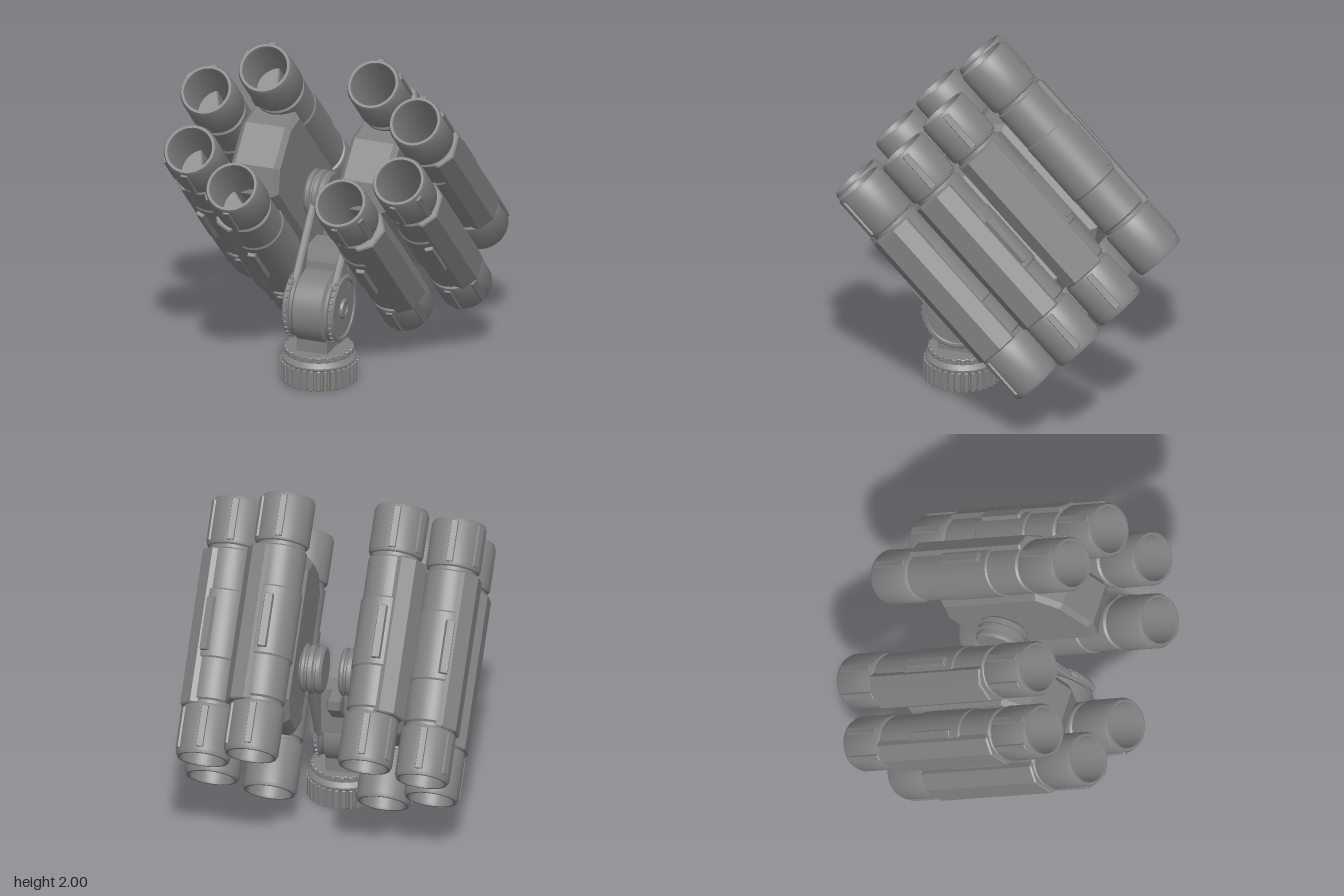
import * as THREE from 'three';
import { toCreasedNormals } from 'three/addons/utils/BufferGeometryUtils.js';

const material = new THREE.MeshStandardMaterial({ color: 0x808080 });
const rad = THREE.MathUtils.degToRad;

function add(parent, name, geometry, x = 0, y = 0, z = 0) {
  const mesh = new THREE.Mesh(geometry, material);
  mesh.name = name;
  mesh.position.set(x, y, z);
  parent.add(mesh);
  return mesh;
}

function lathe(points, segments = 48) {
  const g = new THREE.LatheGeometry(points.map(p => new THREE.Vector2(p[0], p[1])), segments);
  return toCreasedNormals(g, 0.5);
}

// Extrudes a polygon along z, centred, with a small chamfer
function prism(points, depth, bevel = 0.01) {
  const shape = new THREE.Shape(points.map(p => new THREE.Vector2(p[0], p[1])));
  const g = new THREE.ExtrudeGeometry(shape, {
    depth: depth - 2 * bevel, bevelEnabled: true, bevelSize: bevel,
    bevelThickness: bevel, bevelOffset: -bevel, bevelSegments: 1,
  });
  return g.translate(0, 0, -depth / 2 + bevel);
}

// Extrudes a (z, y) outline along x
function sidePlate(points, width, bevel = 0.01) {
  return prism(points.map(([z, y]) => [-z, y]), width, bevel).rotateY(Math.PI / 2);
}

function gear(radius, depth, teeth, height, thickness) {
  const points = [];
  for (let i = 0; i < teeth; i++) {
    [[0, 0], [0.12, 1], [0.6, 1], [0.72, 0]].forEach(([t, up]) => {
      const a = (i + t) / teeth * Math.PI * 2, r = radius - depth + up * height;
      points.push([r * Math.cos(a), r * Math.sin(a)]);
    });
  }
  return prism(points, thickness, 0.004);
}

// Hollow tube with a raised middle sleeve and a wider collar at each end
function tubeGeometry() {
  const half = [
    [0.16, 0.2], [0.152, 0.21], [0.152, 0.45], [0.14, 0.46], [0.14, 0.48], [0.152, 0.485],
    [0.159, 0.5], [0.159, 0.747], [0.149, 0.77], [0.134, 0.77], [0.129, 0.755], [0.129, 0.05], [0, 0.05],
  ];
  const back = half.map(([r, z]) => [r, z > 0.7 ? -z - 0.012 : -z]).reverse();
  return lathe([...back, ...half]).rotateX(Math.PI / 2);
}

// A bar lying on a tube at a given angle around it
function bar(parent, name, angle, radius, size, z) {
  const [w, h, length] = size;
  const g = prism([[-w / 2, -h / 2], [w / 2, -h / 2], [w / 2 - 0.01, h / 2], [-w / 2 + 0.01, h / 2]], length, 0.004);
  const m = add(parent, name, g, radius * Math.cos(angle), radius * Math.sin(angle), z);
  m.rotation.z = angle - Math.PI / 2;
}

function launchTube(tube, sx, sy, outer) {
  const g = new THREE.Group();
  g.name = outer ? 'outerTube' : 'innerTube';
  g.position.set(sx * (outer ? 0.645 : 0.335), sy * (outer ? 0.188 : 0.376), 0);
  add(g, 'barrel', tube);
  const turn = deg => Math.atan2(sy * Math.sin(rad(deg)), sx * Math.cos(rad(deg)));

  // Faceted armour plate, [angle, radius] corners around the outward side
  const corners = outer
    ? [[-70, 0.145], [-55, 0.172], [-22, 0.18], [22, 0.18], [55, 0.172], [68, 0.145]]
    : [[-45, 0.145], [-30, 0.17], [3, 0.194], [40, 0.19], [68, 0.174], [78, 0.145]];
  const outline = [[0, 0], ...corners.map(([d, r]) => [r * Math.cos(rad(d)), r * Math.sin(rad(d))])];
  add(g, 'armour', prism(outline.map(([x, y]) => [x * sx, y * sy]), 0.94, 0.008), 0, 0, -0.015);

  // Raised block on the sleeve, ribs on both collars
  bar(g, 'block', turn(outer ? 69 : 90), 0.164, [0.062, 0.036, 0.32], -0.01);
  for (const end of [-1, 1])
    for (const deg of [90, 30])
      bar(g, 'collarRib', turn(deg), 0.152, [0.055, 0.034, 0.25], end * 0.625);
  return g;
}

export function createModel() {
  const model = new THREE.Group();
  model.name = 'launcher';

  // Two mirrored pods of four tubes, raised 45 degrees
  const pods = new THREE.Group();
  pods.name = 'pods';
  pods.position.set(0, 1.083, -0.003);
  pods.rotation.x = -Math.PI / 4;
  model.add(pods);
  const tube = tubeGeometry();
  for (const sx of [-1, 1]) {
    for (const sy of [-1, 1])
      for (const outer of [false, true]) pods.add(launchTube(tube, sx, sy, outer));
    // Core block holding the tubes, with tapered ends
    add(pods, 'core', sidePlate([[-0.5, -0.13], [-0.4, -0.27], [0.4, -0.27], [0.5, -0.13],
      [0.5, 0.13], [0.4, 0.27], [-0.4, 0.27], [-0.5, 0.13]], 0.3, 0.03), sx * 0.335, 0, 0);
  }

  // Grooved pivot discs between the pods and the arm
  const pivotY = 0.99, pivotZ = -0.08;
  const pivot = lathe([[0, -0.07], [0.125, -0.07], [0.14, -0.055], [0.14, -0.035], [0.128, -0.03],
    [0.128, -0.02], [0.143, -0.012], [0.143, 0.012], [0.128, 0.02], [0.128, 0.03],
    [0.14, 0.035], [0.14, 0.05], [0.125, 0.062], [0, 0.062]], 32).rotateZ(-Math.PI / 2);
  const stub = new THREE.CylinderGeometry(0.1, 0.1, 0.1, 32).rotateZ(Math.PI / 2);

  // Arm: side plates from the hinge up to the pivot discs
  const hingeY = 0.45, hingeZ = 0.27;
  const plate = [];
  const tilt = Math.atan2(pivotY - hingeY, pivotZ - hingeZ);
  const arc = (z, y, radius, start) => {
    for (let i = 0; i <= 12; i++) {
      const a = start + i / 12 * Math.PI;
      plate.push([z + radius * Math.cos(a), y + radius * Math.sin(a)]);
    }
  };
  arc(hingeZ, hingeY, 0.17, tilt + Math.PI / 2);
  arc(pivotZ, pivotY, 0.1, tilt - Math.PI / 2);

  const hub = lathe([[0, -0.02], [0.19, -0.02], [0.197, -0.012], [0.197, 0.008], [0.19, 0.015], [0.172, 0.015],
    [0.166, 0.006], [0.06, 0.006], [0.055, 0.022], [0.035, 0.022], [0.03, 0.014], [0, 0.014]]).rotateZ(-Math.PI / 2);
  const teeth = gear(0.2, 0.006, 30, 0.012, 0.02).rotateY(Math.PI / 2);
  for (const s of [-1, 1]) {
    add(model, 'pivotDisc', pivot, s * 0.115, pivotY, pivotZ);
    add(model, 'pivotAxle', stub, s * 0.19, pivotY, pivotZ);
    add(model, 'armPlate', sidePlate(plate, 0.045), s * 0.122, 0, 0);
    const cap = add(model, 'hingeCap', hub, s * 0.143, hingeY, hingeZ);
    if (s < 0) cap.rotation.y = Math.PI;
    add(model, 'hingeTeeth', teeth, s * 0.138, hingeY, hingeZ);
  }
  add(model, 'armBlock', sidePlate([[0.05, 0.5], [0.24, 0.5], [0.22, 0.7], [0.19, 0.79], [0.05, 0.79]], 0.22, 0.015));
  add(model, 'armYoke', new THREE.BoxGeometry(0.3, 0.2, 0.14), 0, 0.635, 0.12);
  add(model, 'armSpine', sidePlate([[0.06, 0.6], [0.06, 0.79], [-0.09, 0.79], [-0.09, 0.73]], 0.08));

  // Hinge wheel and neck
  const wheel = lathe([[0, -0.118], [0.19, -0.118], [0.19, -0.1], [0.212, -0.085],
    [0.212, 0.085], [0.19, 0.1], [0.19, 0.118], [0, 0.118]], 56).rotateZ(-Math.PI / 2);
  add(model, 'hingeWheel', wheel, 0, hingeY, hingeZ);
  add(model, 'neck', new THREE.BoxGeometry(0.19, 0.24, 0.25), 0, 0.3, 0.265);

  // Knurled base knob with a notched collar
  add(model, 'baseKnob', gear(0.222, 0.016, 34, 0.02, 0.125).rotateX(-Math.PI / 2), 0, 0.0625, hingeZ);
  add(model, 'baseRing', lathe([[0, 0], [0.212, 0], [0.218, 0.008], [0.218, 0.02], [0.205, 0.035],
    [0.195, 0.045], [0.195, 0.06], [0, 0.06]]), 0, 0.12, hingeZ);
  add(model, 'baseCollar', gear(0.2, 0.012, 24, 0.014, 0.032).rotateX(-Math.PI / 2), 0, 0.184, hingeZ);
  return model;
}
